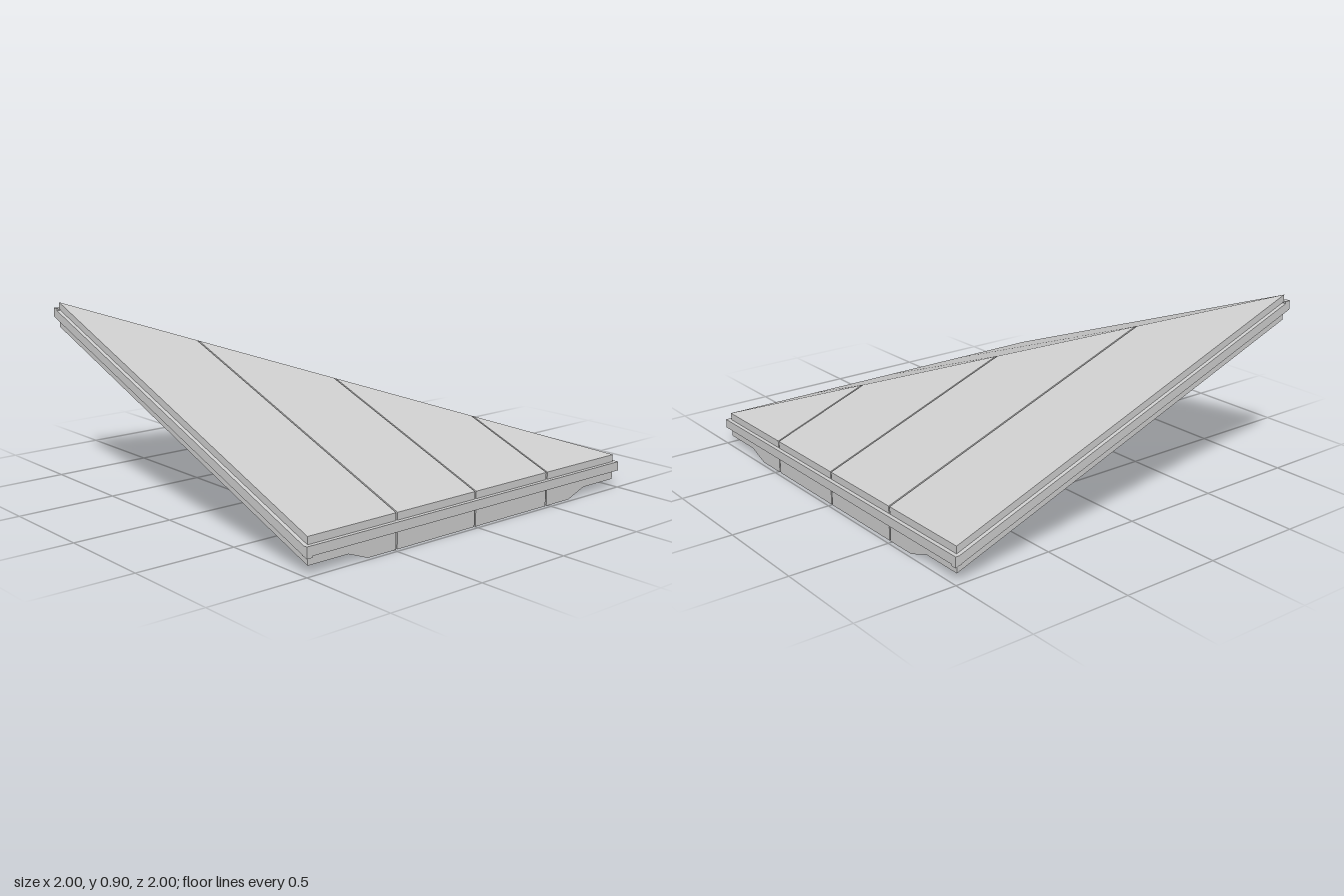
import * as THREE from 'three';

const HALF = 0.98;            // half width of the roof body
const EAVE = 0.17;            // top height along the two eaves
const SLOPE = 0.73 / (2 * HALF);
const SEAM = 0.485;           // position of the outer panel seams
const GAP = 0.004;            // half width of a seam
const material = new THREE.MeshStandardMaterial({ color: 0xcccccc, flatShading: true, side: THREE.DoubleSide });

const topAt = (x) => EAVE + SLOPE * (HALF - x);

// the slab is thicker in the middle and chamfers to thin margins
const thicknessAt = (s) => 0.125 + 0.042 * THREE.MathUtils.clamp((0.76 - Math.abs(s)) / 0.11, 0, 1);

// loft of the slope that falls toward +x, between two z stations; mirrored across the hip for the other slope
function slopeGeometry(a, b, inset, mirrored) {
  const stations = [a, ...[-0.76, -0.65, 0.65, 0.76].filter((z) => z > a && z < b), b];
  const sections = stations.map((z) => {
    const hip = -z, eave = HALF - inset, t = thicknessAt(z) - inset;
    return [
      [hip, topAt(hip) - inset, z],
      [eave, topAt(eave) - inset, z],
      [eave, topAt(eave) - t, z],
      [hip, topAt(hip) - t, z],
    ];
  });
  const positions = [];
  const quad = (...corners) => {
    const order = mirrored ? [0, 2, 1, 0, 3, 2] : [0, 1, 2, 0, 2, 3];
    for (const i of order) {
      const [x, y, z] = corners[i];
      positions.push(...(mirrored ? [-z, y, -x] : [x, y, z]));
    }
  };
  for (let i = 0; i < sections.length - 1; i++) {
    const p = sections[i], q = sections[i + 1];
    for (let k = 0; k < 3; k++) quad(p[k], q[k], q[k + 1], p[k + 1]);
  }
  quad(...sections[0]);
  const end = sections[sections.length - 1];
  quad(end[0], end[3], end[2], end[1]);
  const geometry = new THREE.BufferGeometry();
  geometry.setAttribute('position', new THREE.Float32BufferAttribute(positions, 3));
  geometry.computeVertexNormals();
  return geometry;
}

function addMesh(parent, name, geometry) {
  const mesh = new THREE.Mesh(geometry, material);
  mesh.name = name;
  parent.add(mesh);
  return mesh;
}

// trim bar that follows the falling edge when sloped
function trimGeometry(length, sloped) {
  const geometry = new THREE.BoxGeometry(length, 0.045, 0.03);
  if (sloped) {
    const p = geometry.attributes.position;
    for (let i = 0; i < p.count; i++) p.setY(i, p.getY(i) - SLOPE * p.getX(i));
    geometry.computeVertexNormals();
  }
  return geometry;
}

export function createModel() {
  const root = new THREE.Group();
  root.name = 'hipRoofCorner';
  const cuts = [-HALF, -SEAM, 0, SEAM, HALF];

  for (const mirrored of [false, true]) {
    const slope = new THREE.Group();
    slope.name = mirrored ? 'backSlope' : 'sideSlope';
    root.add(slope);

    // four panels with narrow seams, over a core that closes the seams
    for (let i = 0; i < 4; i++) {
      const a = cuts[i] + (i > 0 ? GAP : 0);
      const b = cuts[i + 1] - (i < 3 ? GAP : 0);
      addMesh(slope, 'roofPanel' + (i + 1), slopeGeometry(a, b, 0, mirrored));
    }
    addMesh(slope, 'roofCore', slopeGeometry(-0.96, 0.96, 0.012, mirrored));
  }

  // projecting trim on the two sloped rakes and the two level eaves
  const middle = topAt(0) - 0.058;
  addMesh(root, 'frontRakeTrim', trimGeometry(2, true)).position.set(0, middle, 0.985);
  const sideRake = addMesh(root, 'sideRakeTrim', trimGeometry(2, true));
  sideRake.rotation.y = Math.PI / 2;
  sideRake.position.set(-0.985, middle, 0);
  const sideEave = addMesh(root, 'sideEaveTrim', trimGeometry(2, false));
  sideEave.rotation.y = Math.PI / 2;
  sideEave.position.set(0.985, EAVE - 0.058, 0);
  addMesh(root, 'backEaveTrim', trimGeometry(2, false)).position.set(0, EAVE - 0.058, -0.985);

  return root;
}
